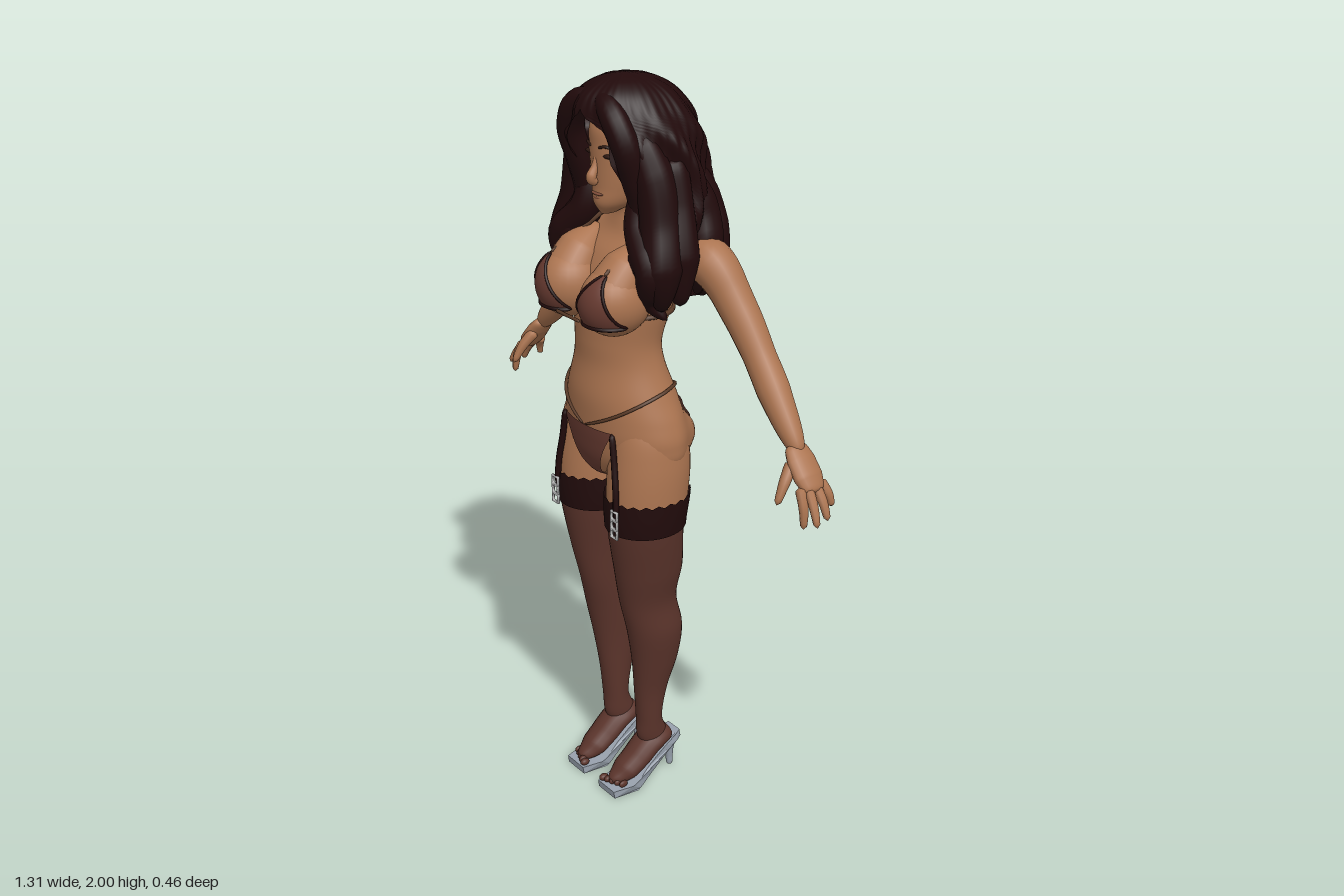
import * as THREE from 'three';
import { mergeVertices } from 'three/addons/utils/BufferGeometryUtils.js';

const { sin, cos, PI, sqrt, asin, min, max, abs, exp, floor } = Math;
const V = (x, y, z) => new THREE.Vector3(x, y, z);
const lerp = THREE.MathUtils.lerp;
const sstep = THREE.MathUtils.smoothstep;

function colour(name, color) {
  const m = new THREE.MeshStandardMaterial({ color, side: THREE.DoubleSide });
  m.name = name;
  return m;
}

// Smooth interpolation of rows [key, a, b, ...] by their first value
function profile(rows) {
  const slope = (i, k) => {
    const a = rows[max(i - 1, 0)], b = rows[min(i + 1, rows.length - 1)];
    return (b[k] - a[k]) / (b[0] - a[0]);
  };
  return (y) => {
    let i = 0;
    while (i < rows.length - 2 && y > rows[i + 1][0]) i++;
    const a = rows[i], b = rows[i + 1], h = b[0] - a[0];
    const t = min(1, max(0, (y - a[0]) / h)), t2 = t * t, t3 = t2 * t;
    return a.slice(1).map((p, j) =>
      (2 * t3 - 3 * t2 + 1) * p + (t3 - 2 * t2 + t) * h * slope(i, j + 1)
      + (3 * t2 - 2 * t3) * b[j + 1] + (t3 - t2) * h * slope(i + 1, j + 1));
  };
}

// Point on a body made of rings [y, centreX, centreZ, halfWidth, front, back]; angle 0 faces +z
const ringBody = (rows) => {
  const p = profile(rows);
  return (y, a, off = 0) => {
    const [cx, cz, rx, rf, rb] = p(y);
    return V(cx + (max(rx, 0.002) + off) * sin(a), y, cz + ((cos(a) > 0 ? rf : rb) + off) * cos(a));
  };
};

function finish(geo) {
  geo.deleteAttribute('normal');
  geo.deleteAttribute('uv');
  const g = mergeVertices(geo, 1e-5);
  g.computeVertexNormals();
  return g;
}

// Grid surface from a rule (u, v) -> point
function surface(fn, nu, nv) {
  const pos = [], idx = [];
  for (let j = 0; j <= nv; j++) for (let i = 0; i <= nu; i++) pos.push(...fn(i / nu, j / nv).toArray());
  for (let j = 0; j < nv; j++) for (let i = 0; i < nu; i++) {
    const a = j * (nu + 1) + i, c = a + nu + 1;
    idx.push(a, a + 1, c, a + 1, c + 1, c);
  }
  const g = new THREE.BufferGeometry();
  g.setAttribute('position', new THREE.Float32BufferAttribute(pos, 3));
  g.setIndex(idx);
  return finish(g);
}
const loft = (body, y0, y1, rows = 50, n = 40) =>
  surface((u, v) => body(lerp(y0, y1, v), u * 2 * PI), n, rows);

// Round-ended tube with changing radius and optional stretch
function limb(points, radii, { seg = 30, n = 14, stretch = [1, 1, 1] } = {}) {
  const curve = new THREE.CatmullRomCurve3(points);
  const g = new THREE.TubeGeometry(curve, seg, 1, n), p = g.attributes.position;
  const st = V(...stretch);
  for (let i = 0; i <= seg; i++) {
    const t = i / seg, c = curve.getPointAt(t), f = t * (radii.length - 1), k = min(floor(f), radii.length - 2);
    const r = lerp(radii[k], radii[k + 1], f - k) * sqrt(max(0, 1 - abs(2 * t - 1) ** 12));
    for (let j = 0; j <= n; j++) {
      const q = i * (n + 1) + j;
      const d = V().fromBufferAttribute(p, q).sub(c).multiplyScalar(r).multiply(st).add(c);
      p.setXYZ(q, d.x, d.y, d.z);
    }
  }
  return finish(g);
}

export function createModel() {
  const root = new THREE.Group();
  const skin = colour('skin', 0xab7450), hair = colour('hair', 0x210a0b);
  const stocking = colour('stocking', 0x5b342b), cloth = colour('cloth', 0x683b31);
  const lace = colour('lace', 0x210b0b), strap = colour('strap', 0x593a27);
  const silver = colour('silver', 0x98a1ad), clipMetal = colour('clip metal', 0xbdbdbd);
  const dark = colour('eye', 0x2c1812), lip = colour('lips', 0x85503c);
  const add = (name, geo, mat) => {
    const m = new THREE.Mesh(geo, mat);
    m.name = name;
    root.add(m);
    return m;
  };
  const ball = (name, mat, p, r) => {
    const m = add(name, new THREE.SphereGeometry(1, 28, 20), mat);
    m.position.set(...p);
    m.scale.set(...r);
    return m;
  };

  // Torso and neck, with rounded seat
  const trunkRows = [
    [0.95, 0, 0.03, 0.02, 0.05, 0.05], [0.975, 0, 0.02, 0.08, 0.105, 0.08], [1.02, 0, 0.02, 0.185, 0.127, 0.09],
    [1.08, 0, 0.02, 0.204, 0.138, 0.1], [1.14, 0, 0.02, 0.192, 0.143, 0.095], [1.2, 0, 0.03, 0.168, 0.134, 0.1],
    [1.28, 0, 0.04, 0.139, 0.113, 0.085], [1.34, 0, 0.045, 0.131, 0.108, 0.085], [1.42, 0, 0.035, 0.145, 0.115, 0.1],
    [1.5, 0, 0.02, 0.16, 0.108, 0.12], [1.56, 0, 0, 0.175, 0.098, 0.11], [1.6, 0, -0.02, 0.155, 0.085, 0.08],
    [1.63, 0, -0.02, 0.1, 0.072, 0.06], [1.665, 0, -0.01, 0.056, 0.055, 0.05], [1.75, 0, 0.01, 0.05, 0.055, 0.05]];
  const trunk = ringBody(trunkRows), trunkWidth = profile(trunkRows);
  const torso = (y, a, off = 0) => {
    const p = trunk(y, a, off);
    p.z -= 0.066 * max(0, -cos(a)) ** 0.5 * exp(-(((abs(p.x) - 0.088) / 0.065) ** 2) - ((y - 1.045) / 0.078) ** 2);
    return p;
  };
  add('torso', loft(torso, 0.95, 1.75, 90, 64), skin);

  // Briefs: front and back panels that follow the torso
  const panel = (name, mid, y0, y1, widths) => {
    const w = profile(widths);
    add(name, surface((u, v) => {
      const y = lerp(y0, y1, v), half = asin(min(0.97, w(y)[0] / trunkWidth(y)[2]));
      return torso(y, mid + (u * 2 - 1) * half, 0.006);
    }, 24, 30), cloth);
  };
  panel('briefsFront', 0, 0.955, 1.118, [[0.95, 0.022], [1.0, 0.04], [1.06, 0.066], [1.12, 0.1]]);
  panel('briefsBack', PI, 0.955, 1.165, [[0.95, 0.02], [1.02, 0.035], [1.08, 0.07], [1.17, 0.12]]);

  // Straps around the hips and the chest
  const around = (rule, a0, a1) => Array.from({ length: 41 }, (_, i) => {
    const a = lerp(a0, a1, i / 40);
    return torso(rule(a), a, 0.003);
  });
  add('hipStrap', limb(around((a) => 1.115 + 0.082 * abs(sin(a)) + 0.025 * (1 - cos(a)), 0, 2 * PI), [0.005, 0.005], { seg: 140, n: 6 }), strap);
  add('chestBand', limb(around(() => 1.425, 0.95, 2 * PI - 0.95), [0.007, 0.007], { seg: 80, n: 6 }), strap);
  add('cupLink', limb([V(-0.05, 1.42, 0.207), V(0, 1.422, 0.21), V(0.05, 1.42, 0.207)], [0.005, 0.005], { n: 6 }), strap);

  // Head and face
  const head = ringBody([
    [1.662, 0, 0.08, 0.012, 0.022, 0.03], [1.69, 0, 0.05, 0.046, 0.068, 0.07], [1.73, 0, 0.03, 0.066, 0.088, 0.09],
    [1.78, 0, 0.02, 0.076, 0.1, 0.1], [1.83, 0, 0.02, 0.079, 0.102, 0.1], [1.88, 0, 0.02, 0.076, 0.1, 0.1],
    [1.93, 0, 0.01, 0.06, 0.08, 0.08], [1.96, 0, 0.01, 0.01, 0.01, 0.01]]);
  add('head', loft(head, 1.662, 1.96), skin);
  add('nose', limb([V(0, 1.815, 0.113), V(0, 1.78, 0.122), V(0, 1.754, 0.132), V(0, 1.742, 0.116)], [0.005, 0.008, 0.013, 0.011]), skin);
  ball('upperLip', lip, [0, 1.715, 0.113], [0.022, 0.005, 0.009]);
  ball('lowerLip', lip, [0, 1.705, 0.11], [0.018, 0.006, 0.01]);

  // Hair shell, open around the face, with wavy strands
  const hairBody = ringBody([
    [1.42, 0, -0.08, 0.05, 0.04, 0.05], [1.46, 0, -0.07, 0.15, 0.08, 0.11], [1.52, 0, -0.05, 0.19, 0.1, 0.15],
    [1.6, 0, -0.04, 0.193, 0.13, 0.165], [1.7, 0, -0.03, 0.183, 0.13, 0.155], [1.8, 0, -0.01, 0.178, 0.155, 0.152],
    [1.88, 0, 0, 0.162, 0.16, 0.148], [1.95, 0, 0.01, 0.115, 0.138, 0.112], [1.985, 0, 0.02, 0.065, 0.08, 0.065],
    [2, 0, 0.03, 0.003, 0.003, 0.003]]);
  const opening = profile([[1.42, 1.7], [1.52, 1.5], [1.6, 1.1], [1.7, 0.7], [1.8, 0.48], [1.88, 0.42], [1.92, 0.02], [2, 0]]);
  add('hairShell', surface((u, v) => {
    const y = lerp(1.42, 2, 1 - (1 - v) ** 1.4), o = max(0, opening(y)[0]), a = lerp(o, 2 * PI - o, u);
    const fade = 1 - sstep(y, 1.72, 2) * 0.85;
    return hairBody(y, a, fade * (0.012 * sin(9 * a + 2.5 * sin(17 * y)) + 0.004 * sin(37 * a - 22 * y)));
  }, 180, 70), hair);

  // Curling locks that end the hair at the back
  for (let i = 0; i < 7; i++) {
    const a = PI + (i - 3) * 0.4, end = 1.445 + 0.012 * (i % 3);
    add('backLock' + (i + 1), limb([hairBody(1.78, a, -0.04), hairBody(1.67, a + 0.06, -0.025), hairBody(1.58, a - 0.05, -0.02), hairBody(1.52, a, -0.02),
      hairBody(1.5, a + 0.05, -0.035).setY(end)], [0.03, 0.045, 0.05, 0.046, 0.02]), hair);
  }

  for (const s of [-1, 1]) {
    const side = s > 0 ? 'left' : 'right';
    const P = (x, y, z) => V(s * x, y, z);
    const part = (name) => side + name;

    // Eyes and brows
    ball(part('Eye'), dark, [s * 0.034, 1.812, 0.107], [0.018, 0.006, 0.009]);
    add(part('Brow'), limb([P(0.014, 1.831, 0.121), P(0.036, 1.836, 0.114), P(0.058, 1.828, 0.096)], [0.003, 0.004, 0.002], { n: 6 }), dark);

    // Locks framing the face and falling over the shoulder
    const locks = [
      [[P(0.005, 1.955, 0.11), P(0.065, 1.928, 0.122), P(0.107, 1.86, 0.113), P(0.11, 1.77, 0.08), P(0.115, 1.68, 0.05), P(0.15, 1.58, 0.075), P(0.14, 1.48, 0.085)], [0.025, 0.034, 0.036, 0.038, 0.045, 0.05, 0.015]],
      [[P(0.1, 1.88, 0.07), P(0.145, 1.76, 0.05), P(0.165, 1.66, 0.05), P(0.19, 1.56, 0.065), P(0.185, 1.45, 0.06)], [0.04, 0.05, 0.05, 0.052, 0.02]],
      [[P(0.14, 1.82, 0), P(0.165, 1.7, 0), P(0.19, 1.59, 0.01), P(0.2, 1.46, 0.015)], [0.04, 0.042, 0.05, 0.02]],
      [[P(0.1, 1.75, 0.05), P(0.11, 1.65, 0.07), P(0.18, 1.56, 0.09), P(0.16, 1.47, 0.07), P(0.195, 1.43, 0.05)], [0.03, 0.038, 0.042, 0.035, 0.01]]];
    locks.forEach(([p, r], i) => add(part('Lock' + (i + 1)), limb(p, r, { seg: 40 }), hair));

    // Bust, cup and neck strap
    const c = [s * 0.09, 1.47, 0.128], r = [0.08, 0.09, 0.095];
    ball(part('Breast'), skin, c, r);
    add(part('UpperBust'), limb([P(0.095, 1.6, 0.035), P(0.094, 1.54, 0.1), P(0.09, 1.48, 0.145)], [0.02, 0.06, 0.072], { n: 24 }), skin);
    const onBreast = (lx, ly, k) => V(c[0] + r[0] * lx * k, c[1] + r[1] * ly * k, c[2] + r[2] * k * sqrt(max(0, 1 - lx * lx - ly * ly)));
    add(part('Cup'), surface((u, v) => {
      const w = lerp(0.78, 0.05, v ** 1.35), mid = s * (0.06 + 0.2 * v);
      return onBreast(mid + (u * 2 - 1) * w, lerp(-0.52, 0.84, v), 1.05);
    }, 24, 24), cloth);
    const edge = (e) => Array.from({ length: 11 }, (_, i) => {
      const v = i / 10;
      return onBreast(s * (0.06 + 0.2 * v) + e * lerp(0.78, 0.05, v ** 1.35), lerp(-0.52, 0.84, v), 1.05);
    });
    for (const e of [-1, 1]) add(part('CupEdge'), limb(edge(e), [0.004, 0.004], { n: 6 }), lace);
    const hem = Array.from({ length: 11 }, (_, i) => onBreast(s * 0.06 + (i / 5 - 1) * 0.78, -0.52, 1.05));
    add(part('CupHem'), limb(hem, [0.006, 0.006], { n: 6 }), lace);
    add(part('NeckStrap'), limb([onBreast(s * 0.26, 0.82, 1.05), P(0.1, 1.59, 0.1), P(0.07, 1.64, 0.045), P(0.05, 1.675, 0)], [0.006, 0.006], { n: 6 }), strap);

    // Arm, palm, fingers and thumb
    add(part('Arm'), limb([P(0.12, 1.57, -0.05), P(0.205, 1.555, -0.075), P(0.3, 1.45, -0.092), P(0.39, 1.335, -0.095), P(0.46, 1.255, -0.088), P(0.545, 1.16, -0.08)],
      [0.05, 0.06, 0.05, 0.046, 0.041, 0.042, 0.034, 0.024], { seg: 50, n: 20 }), skin);
    add(part('Palm'), limb([P(0.52, 1.185, -0.08), P(0.56, 1.14, -0.078), P(0.605, 1.085, -0.078)], [0.02, 0.027, 0.028, 0.02], { stretch: [0.75, 0.75, 1.5] }), skin);
    [[-0.045, 0.615, 1.005, -0.035], [-0.067, 0.652, 1.02, -0.045], [-0.09, 0.645, 1.025, -0.085], [-0.108, 0.615, 1.04, -0.125]].forEach(([z, x, y, tz], i) =>
      add(part('Finger' + (i + 1)), limb([P(0.585, 1.105, z), P(lerp(0.6, x, 0.5), lerp(1.1, y, 0.45), lerp(z, tz, 0.6)), P(x, y, tz)], [0.014, 0.012, 0.008], { seg: 12, n: 8 }), skin));
    add(part('Thumb'), limb([P(0.54, 1.15, -0.06), P(0.553, 1.11, -0.025), P(0.56, 1.06, 0.005)], [0.017, 0.014, 0.008], { seg: 12, n: 8 }), skin);

    // Leg: bare thigh, lace band and stocking
    const leg = ringBody([
      [0.085, s * 0.075, -0.02, 0.015, 0.02, 0.02], [0.11, s * 0.075, -0.01, 0.029, 0.035, 0.045], [0.14, s * 0.075, 0, 0.034, 0.043, 0.05], [0.2, s * 0.077, 0.01, 0.036, 0.036, 0.038],
      [0.3, s * 0.08, 0.007, 0.042, 0.048, 0.05], [0.4, s * 0.088, 0, 0.055, 0.067, 0.07], [0.5, s * 0.093, 0.005, 0.066, 0.08, 0.082],
      [0.6, s * 0.09, 0.025, 0.066, 0.083, 0.083], [0.7, s * 0.098, 0.03, 0.079, 0.098, 0.098], [0.84, s * 0.105, 0.045, 0.096, 0.105, 0.103],
      [0.93, s * 0.107, 0.04, 0.1, 0.113, 0.11], [1.03, s * 0.105, 0.032, 0.099, 0.113, 0.108], [1.12, s * 0.098, 0.03, 0.088, 0.1, 0.09], [1.2, s * 0.08, 0.03, 0.055, 0.07, 0.06]]);
    add(part('Thigh'), loft(leg, 0.88, 1.2, 26), skin);
    add(part('Stocking'), loft(leg, 0.085, 0.89, 60), stocking);
    add(part('LaceBand'), surface((u, v) => leg(lerp(0.838, 0.932, v) + 0.004 * sin(u * 44 * PI) * v, u * 2 * PI, 0.006), 88, 6), lace);

    // Garter strap with its clip
    add(part('Garter'), limb([P(0.1, 1.12, 0.15), P(0.112, 1.04, 0.152), P(0.124, 0.97, 0.157), P(0.13, 0.89, 0.16)], [0.009, 0.009], { n: 6 }), lace);
    for (const y of [0.852, 0.878, 0.904]) {
      const clip = add(part('Clip'), new THREE.TorusGeometry(0.016, 0.0045, 6, 4).rotateZ(PI / 4), clipMetal);
      clip.position.set(s * 0.13, y, 0.166);
    }

    // Foot and toes
    add(part('Foot'), limb([P(0.075, 0.135, -0.06), P(0.075, 0.12, 0), P(0.075, 0.075, 0.06), P(0.073, 0.043, 0.11), P(0.072, 0.032, 0.145)],
      [0.03, 0.036, 0.035, 0.032, 0.014], { stretch: [1.3, 0.9, 1] }), stocking);
    for (let i = 0; i < 5; i++)
      ball(part('Toe'), stocking, [s * (0.045 + i * 0.015), 0.032, 0.145 - i * 0.006], [0.01 - i * 0.0008, 0.01, 0.014]);

    // Shoe: arched sole with rounded outline, and a tapering heel
    const shape = new THREE.Shape();
    shape.moveTo(0.155, 0);
    shape.lineTo(0.158, 0.022);
    shape.lineTo(0.1, 0.024);
    shape.bezierCurveTo(0.05, 0.03, 0, 0.09, -0.085, 0.125);
    shape.lineTo(-0.092, 0.1);
    shape.bezierCurveTo(-0.03, 0.085, 0.02, 0.01, 0.08, 0);
    const sole = new THREE.ExtrudeGeometry(shape, { depth: 0.1, bevelEnabled: false, steps: 4, curveSegments: 16 });
    sole.translate(0, 0, -0.05).rotateY(-PI / 2);
    const sp = sole.attributes.position;
    const width = profile([[-0.1, 0.35], [-0.07, 0.6], [0.03, 0.7], [0.1, 1], [0.16, 0.72]]);
    for (let i = 0; i < sp.count; i++) sp.setX(i, s * 0.073 + sp.getX(i) * width(sp.getZ(i))[0]);
    sole.computeVertexNormals();
    add(part('Sole'), sole, silver);
    add(part('Heel'), limb([P(0.075, 0.122, -0.064), P(0.075, 0.06, -0.066), P(0.075, 0, -0.068)], [0.03, 0.023, 0.013, 0.01, 0.01], { seg: 24 }), silver);
  }
  return root;
}
